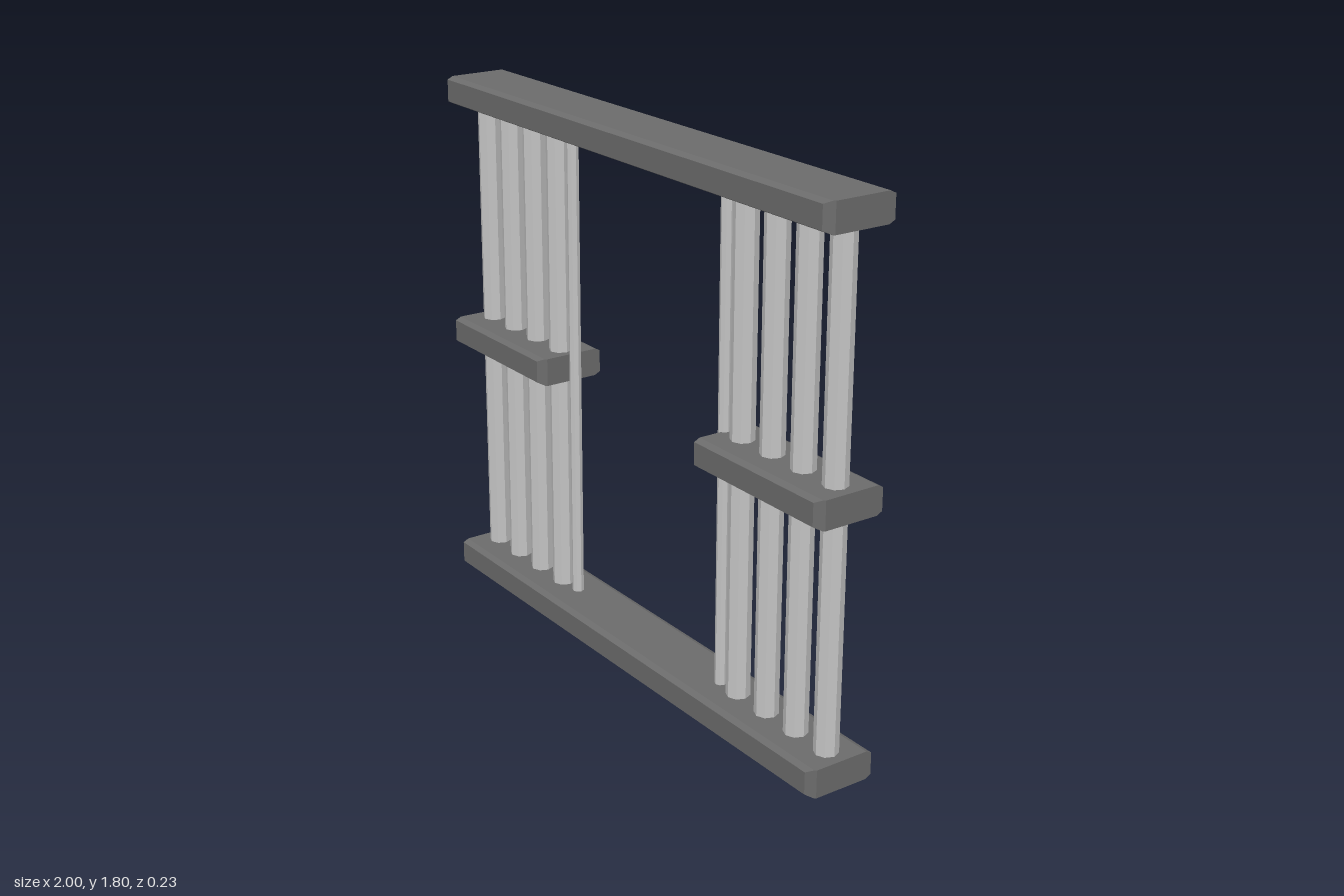
import * as THREE from 'three';
import { ConvexGeometry } from 'three/addons/geometries/ConvexGeometry.js';

const HALF_DEPTH = 0.117, BEVEL_Z = 0.02, BEVEL_Y = 0.01;
const BEAM_HEIGHT = 0.094, HEIGHT = 1.805;

// Horizontal bar with bevelled long edges and a chamfered front corner at its +x end
function beamGeometry(x0, x1, y0, y1, bevelInner) {
  const cut = 0.025, pts = [];
  const add = (x, y, z) => pts.push(new THREE.Vector3(x, y, z));
  const flatZ = HALF_DEPTH - BEVEL_Z;
  for (const [yFlat, ySide] of [[y1, y1 - BEVEL_Y], [y0, y0 + BEVEL_Y]]) {
    // -x end, optionally bevelled all round
    const run = bevelInner ? 0.012 : 0;
    for (const s of [-1, 1]) {
      add(x0 + run, yFlat, s * flatZ);
      add(x0 + run, ySide, s * HALF_DEPTH);
      if (bevelInner) add(x0, ySide, s * flatZ);
    }
    // +x end
    add(x1, yFlat, -flatZ);
    add(x1, ySide, -HALF_DEPTH);
    add(x1, yFlat, HALF_DEPTH - cut);
    add(x1 - cut + BEVEL_Z, yFlat, flatZ);
    add(x1 - cut, ySide, HALF_DEPTH);
  }
  return new ConvexGeometry(pts);
}

export function createModel() {
  const group = new THREE.Group();
  group.name = 'barredFrame';
  const beamMat = new THREE.MeshStandardMaterial({ color: 0x6b6b6b });
  beamMat.name = 'darkGrey';
  const barMat = new THREE.MeshStandardMaterial({ color: 0xc4c4c4, flatShading: true });
  barMat.name = 'lightGrey';

  const beam = (name, x0, x1, y0, bevelInner = false) => {
    const mesh = new THREE.Mesh(beamGeometry(x0, x1, y0, y0 + BEAM_HEIGHT, bevelInner), beamMat);
    mesh.name = name;
    group.add(mesh);
  };
  beam('bottomBeam', -1, 1, 0);
  beam('topBeam', -1, 1, HEIGHT - BEAM_HEIGHT);
  beam('rightMiddleRail', -1, -0.44, 0.857);
  beam('leftMiddleRail', 0.405, 1, 0.857, true);

  // Eight-sided upright bars, with a thin one beside the opening
  const barHeight = HEIGHT - BEAM_HEIGHT;
  const bar = (name, x, radius) => {
    const geo = new THREE.CylinderGeometry(radius, radius, barHeight, 8);
    const mesh = new THREE.Mesh(geo, barMat);
    mesh.position.set(x, HEIGHT / 2, 0);
    mesh.name = name;
    group.add(mesh);
  };
  for (const [side, s] of [['left', 1], ['right', -1]]) {
    for (let i = 0; i < 4; i++) bar(`${side}Bar${i + 1}`, s * (0.93 - i * 0.143), 0.039);
    bar(`${side}ThinBar`, s * 0.411, 0.02);
  }
  return group;
}
